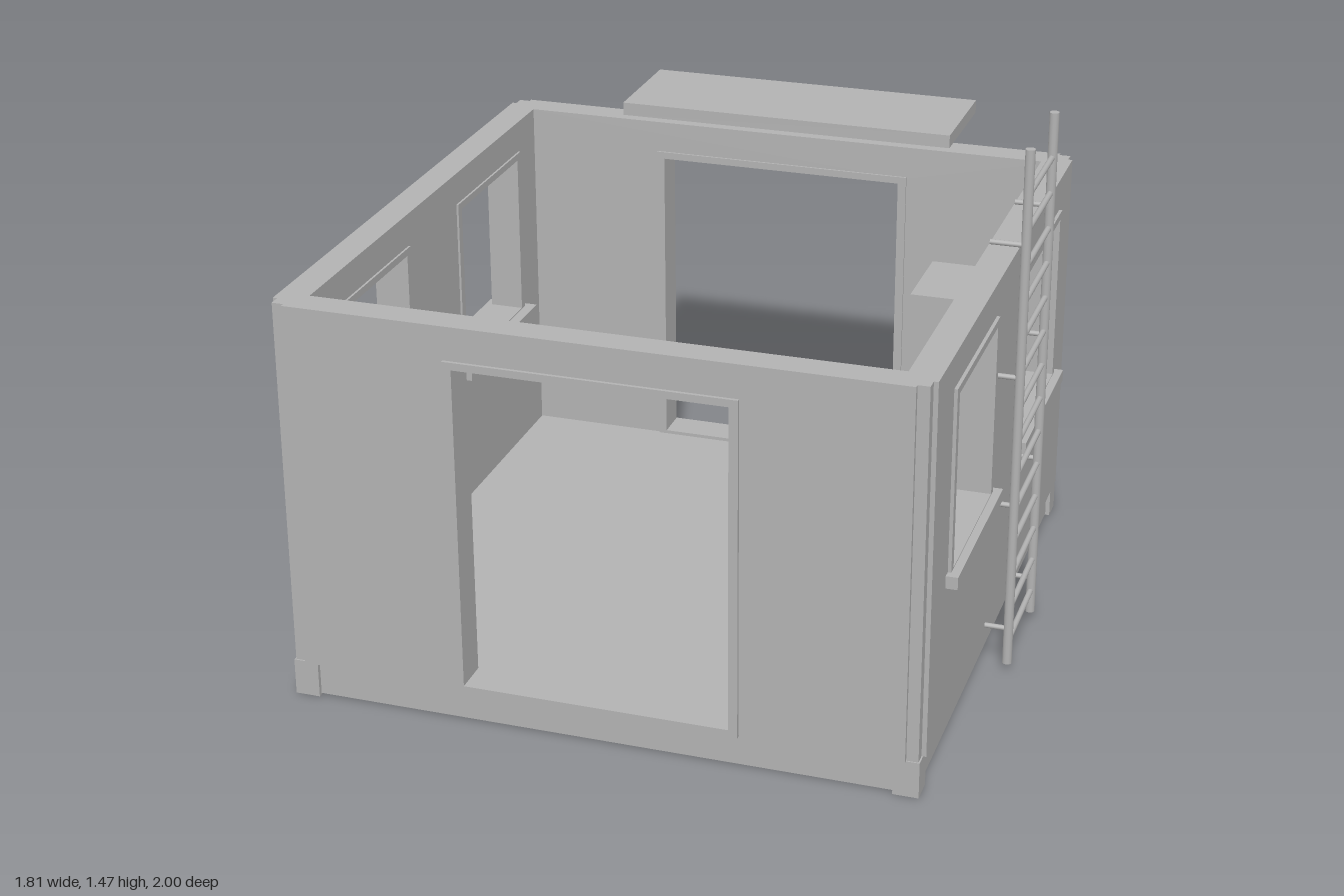
import * as THREE from 'three';

const grey = new THREE.MeshStandardMaterial({ color: 0xb3b3b3 });
grey.name = 'plain grey';

// Box given by its limits on each axis
function box(parent, name, x0, x1, y0, y1, z0, z1) {
  const m = new THREE.Mesh(new THREE.BoxGeometry(x1 - x0, y1 - y0, z1 - z0), grey);
  m.position.set((x0 + x1) / 2, (y0 + y1) / 2, (z0 + z1) / 2);
  m.name = name;
  parent.add(m);
  return m;
}

// Round bar between two points
function bar(parent, name, a, b, r, sides = 12) {
  const p = new THREE.Vector3(...a), q = new THREE.Vector3(...b);
  const m = new THREE.Mesh(new THREE.CylinderGeometry(r, r, p.distanceTo(q), sides), grey);
  m.position.copy(p).add(q).multiplyScalar(0.5);
  m.quaternion.setFromUnitVectors(new THREE.Vector3(0, 1, 0), q.sub(p).normalize());
  m.name = name;
  parent.add(m);
}

function group(parent, name) {
  const g = new THREE.Group();
  g.name = name;
  parent.add(g);
  return g;
}

function rect(Type, x0, x1, y0, y1) {
  return new Type([[x0, y0], [x1, y0], [x1, y1], [x0, y1]].map(p => new THREE.Vector2(...p)));
}

// Upright plate with rectangular holes, from z0 to z1
function plate(parent, name, outer, holes, z0, z1) {
  const s = rect(THREE.Shape, ...outer);
  holes.forEach(h => s.holes.push(rect(THREE.Path, ...h)));
  const m = new THREE.Mesh(
    new THREE.ExtrudeGeometry(s, { depth: z1 - z0, bevelEnabled: false }), grey);
  m.position.z = z0;
  m.name = name;
  parent.add(m);
}

const IN = 0.768, OUT = 0.85, TOP = 1.11;

// One wall facing +z, with framed openings [centre, half width, bottom, top]
function wall(parent, name, openings, angle, sills) {
  const g = group(parent, name);
  const e = 0.012, f = 0.024;
  plate(g, 'wallPanel', [-0.807, 0.807, 0.1, TOP],
    openings.map(([c, w, b, t]) => [c - w - e, c + w + e, b - e, t + e]), IN, OUT);
  for (const [c, w, b, t] of openings) {
    plate(g, 'openingFrame', [c - w - f, c + w + f, b - 0.02, t + 0.02],
      [[c - w, c + w, b, t]], 0.762, 0.859);
    if (sills) box(g, 'windowSill', c - 0.257, c + 0.257, 0.493, 0.527, 0.732, 0.881);
  }
  g.rotation.y = angle;
}

function building(parent) {
  const g = group(parent, 'building');
  g.position.set(-0.025, 0, 0.138);
  box(g, 'floorBase', -0.83, 0.83, 0.004, 0.105, -0.83, 0.83);
  // Corner posts and their feet
  for (const sx of [-1, 1]) for (const sz of [-1, 1]) {
    const c = group(g, 'corner');
    const lim = (s, a, b) => (s > 0 ? [a, b] : [-b, -a]);
    box(c, 'cornerPost', ...lim(sx, IN, 0.838), 0.1, TOP, ...lim(sz, IN, 0.838));
    box(c, 'cornerFoot', ...lim(sx, 0.775, 0.842), 0, 0.1, ...lim(sz, 0.775, 0.842));
  }
  // Doorways front and back, two windows on each side
  const door = [[0, 0.355, 0.115, 1.0]];
  const windows = [-0.402, 0.402].map(c => [c, 0.212, 0.53, 1.0]);
  wall(g, 'frontWall', door, 0, false);
  wall(g, 'backWall', door, Math.PI, false);
  wall(g, 'leftWall', windows, Math.PI / 2, true);
  wall(g, 'rightWall', windows, -Math.PI / 2, true);
}

function awning(parent) {
  const g = group(parent, 'awning');
  box(g, 'awningRoof', -0.52, 0.47, 1.11, 1.148, -1, -0.662);
  for (const x of [-0.4, 0.345])
    bar(g, 'awningBrace', [x, 0.995, -0.705], [x, 1.112, -0.985], 0.008);
}

function ladder(parent) {
  const g = group(parent, 'ladder');
  const x = 0.889, zs = [-0.008, 0.292];
  for (const z of zs) {
    bar(g, 'ladderRail', [x, 0.02, z], [x, 1.47, z], 0.013);
    for (let i = 0; i < 4; i++) {
      const y = 0.123 + i * 0.364;
      bar(g, 'wallBracket', [0.797, y, z], [x, y, z], 0.007);
    }
  }
  for (let i = 0; i < 14; i++) {
    const y = 0.086 + i * 0.0971;
    bar(g, 'ladderRung', [x, y, zs[0]], [x, y, zs[1]], 0.008);
  }
}

function furniture(parent) {
  const g = group(parent, 'furniture');
  // Desk against the side wall
  const desk = group(g, 'desk');
  box(desk, 'deskTop', 0.48, 0.742, 0.405, 0.432, -0.045, 0.6);
  box(desk, 'deskSide', 0.485, 0.74, 0.105, 0.405, -0.043, -0.015);
  box(desk, 'deskSide', 0.485, 0.74, 0.105, 0.405, 0.57, 0.598);
  // Computer on the desk
  const pc = group(g, 'computer');
  box(pc, 'screen', 0.542, 0.57, 0.48, 0.674, 0.15, 0.405);
  box(pc, 'screenStand', 0.568, 0.586, 0.432, 0.56, 0.262, 0.292);
  box(pc, 'computerCase', 0.635, 0.74, 0.432, 0.49, 0.185, 0.375);
  // Chair
  const chair = group(g, 'chair');
  box(chair, 'chairSeat', 0.28, 0.48, 0.288, 0.33, 0.18, 0.375);
  box(chair, 'chairBack', 0.272, 0.306, 0.325, 0.575, 0.18, 0.375);
  for (const x of [0.306, 0.45]) for (const z of [0.205, 0.35])
    bar(chair, 'chairLeg', [x, 0.105, z], [x, 0.29, z], 0.008);
  // Tall cabinet in the back corner
  const cab = group(g, 'cabinet');
  box(cab, 'cabinetBody', 0.45, 0.71, 0.125, 0.79, -0.582, -0.318);
  box(cab, 'cabinetBack', 0.47, 0.69, 0.16, 0.77, -0.6, -0.582);
  for (const x of [0.457, 0.667]) for (const z of [-0.59, -0.34])
    box(cab, 'cabinetFoot', x, x + 0.036, 0.1, 0.135, z, z + 0.033);
}

export function createModel() {
  const model = new THREE.Group();
  model.name = 'siteOffice';
  building(model);
  awning(model);
  ladder(model);
  furniture(model);
  return model;
}
